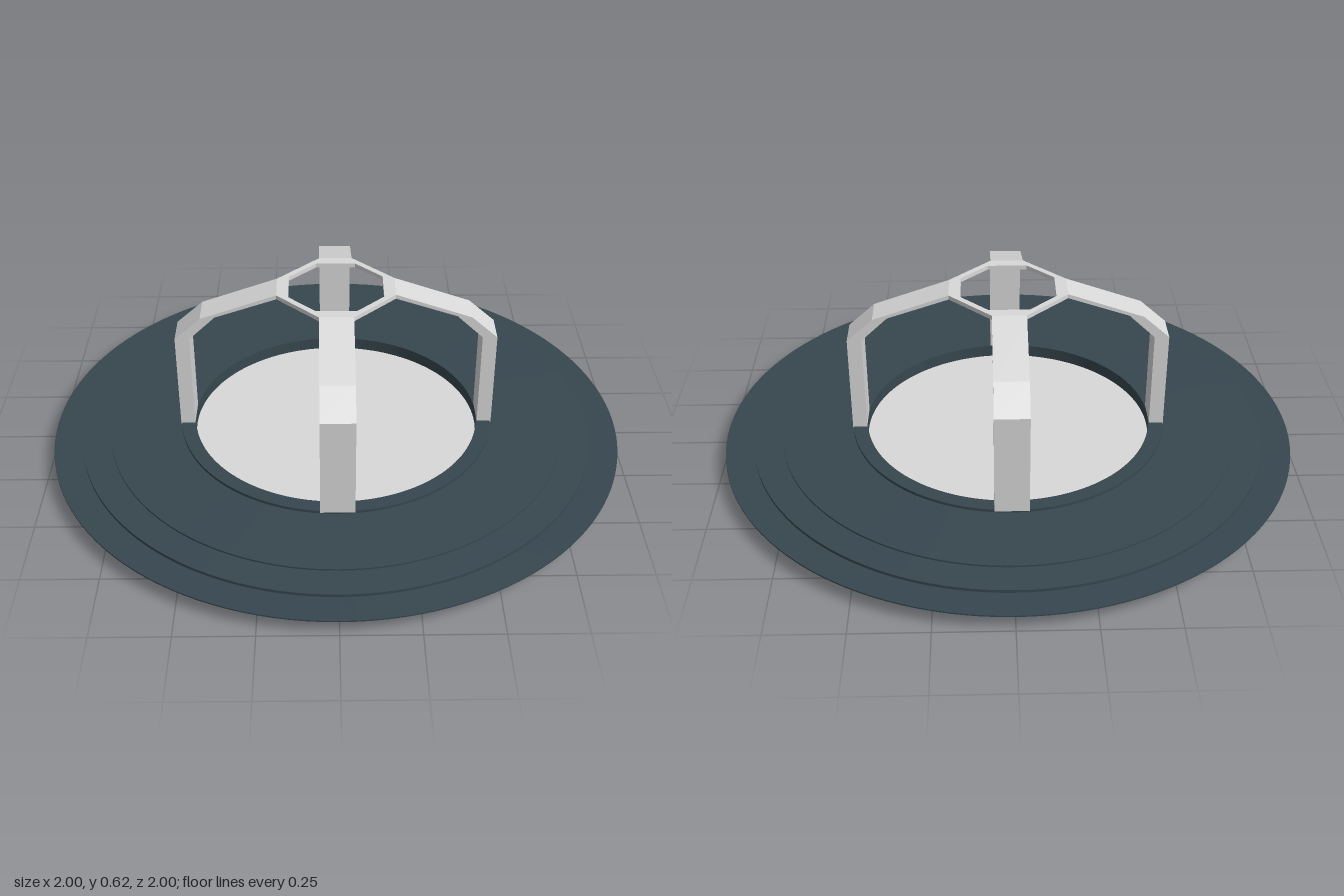
import * as THREE from 'three';
import { toCreasedNormals } from 'three/addons/utils/BufferGeometryUtils.js';

const SEGMENTS = 128;

export function createModel() {
  const group = new THREE.Group();
  const material = (name, color) => new THREE.MeshStandardMaterial({ name, color });
  const slate = material('slate', 0x37474f);
  const lightGrey = material('light grey', 0xd9d9d9);
  const black = material('black', 0x0a0a0a);

  const add = (name, geometry, mat, parent = group) => {
    const mesh = new THREE.Mesh(geometry, mat);
    mesh.name = name;
    parent.add(mesh);
    return mesh;
  };
  const lathe = (points) => toCreasedNormals(
    new THREE.LatheGeometry(points.map(([r, y]) => new THREE.Vector2(r, y)), SEGMENTS), 0.1);
  const shapeOf = (points) => new THREE.Shape(points.map(([x, y]) => new THREE.Vector2(x, y)));

  // Stepped flange, from its rim inwards and down the inside of the opening
  add('flange', lathe([
    [1, 0.055], [1, 0.06], [0.9, 0.06], [0.9, 0.07], [0.8, 0.074], [0.8, 0.08],
    [0.55, 0.09], [0.55, 0.1], [0.5, 0.1], [0.5, 0.055],
  ]), slate);
  add('flangeUnderside',
    new THREE.RingGeometry(0.5, 1, SEGMENTS).rotateX(Math.PI / 2).translate(0, 0.055, 0), lightGrey);

  // Short collar below the flange, closed by a floor and a base
  add('collar', lathe([[0.5, 0], [0.5, 0.055]]), slate);
  add('floor',
    new THREE.CircleGeometry(0.5, SEGMENTS).rotateX(-Math.PI / 2).translate(0, 0.055, 0), lightGrey);
  add('base', new THREE.CircleGeometry(0.5, SEGMENTS).rotateX(Math.PI / 2), black);

  // Cage: four bent legs
  const cage = new THREE.Group();
  cage.name = 'cage';
  group.add(cage);
  const half = 0.057;
  const legGeometry = new THREE.ExtrudeGeometry(shapeOf([
    [0.5, 0.095], [0.55, 0.095], [0.55, 0.45], [0.46, 0.53],
    [0.2, 0.62], [0.2, 0.605], [0.41, 0.535], [0.5, 0.45],
  ]), { depth: half * 2, bevelEnabled: false }).translate(0, 0, -half);
  for (let i = 0; i < 4; i++) {
    add('leg', legGeometry, lightGrey, cage).rotation.y = i * Math.PI / 2;
  }

  // Eight-sided ring joining the legs at the top
  const octagon = (r, h) => [[r, -h], [r, h], [h, r], [-h, r], [-r, h], [-r, -h], [-h, -r], [h, -r]];
  const ring = shapeOf(octagon(0.2, half));
  ring.holes.push(shapeOf(octagon(0.16, 0.068)));
  add('topRing', new THREE.ExtrudeGeometry(ring, { depth: 0.015, bevelEnabled: false })
    .rotateX(-Math.PI / 2).translate(0, 0.605, 0), lightGrey, cage);

  return group;
}
